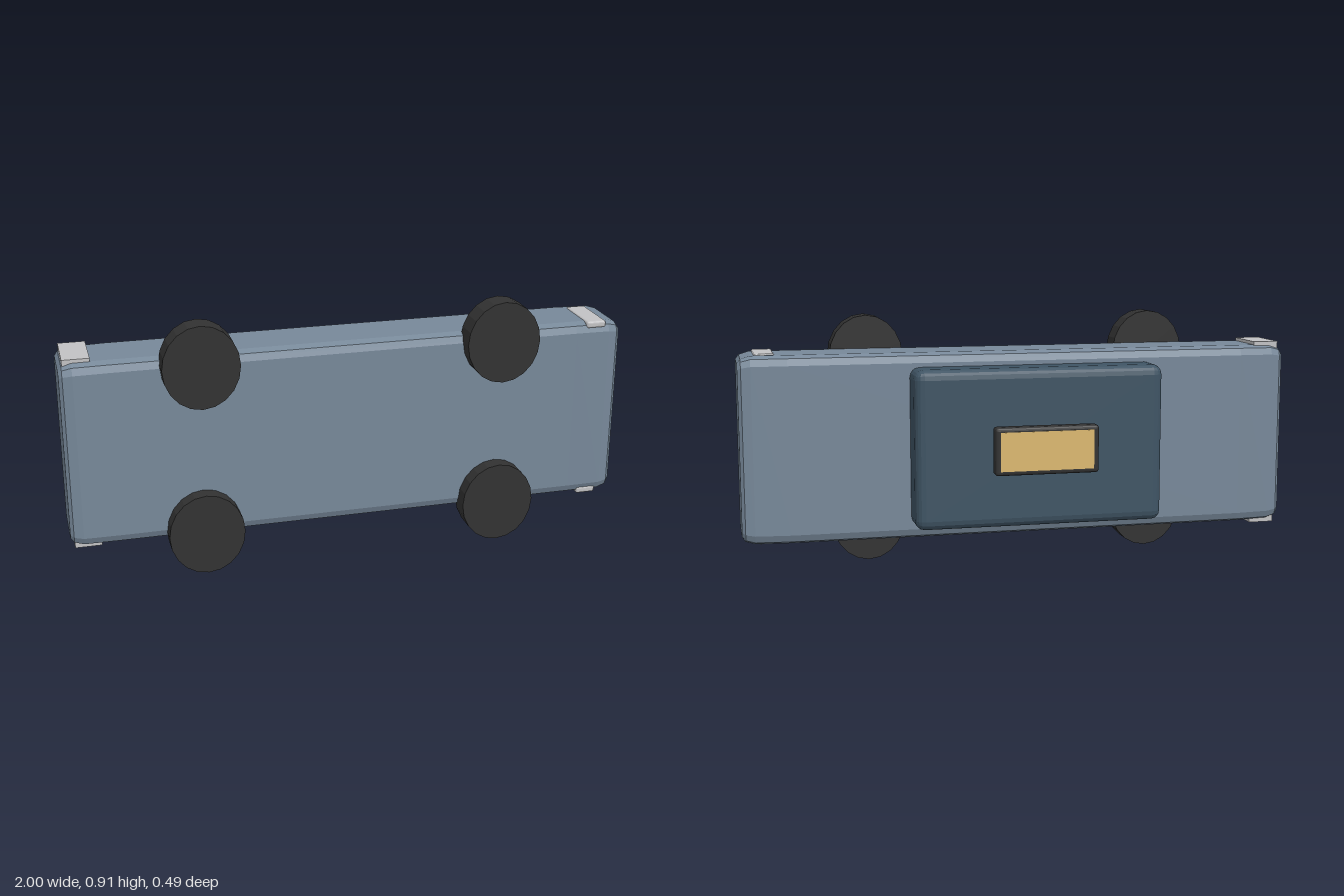
import * as THREE from 'three';
import { RoundedBoxGeometry } from 'three/addons/geometries/RoundedBoxGeometry.js';

const mat = (name, color) => {
  const m = new THREE.MeshStandardMaterial({ color, flatShading: true });
  m.name = name;
  return m;
};

// Closed hull from bevelled rectangles in the yz plane, strung along x.
// Each section: [x, halfHeight, zFront, zBack, bevel]
function hullGeometry(sections, cy) {
  const pos = [], idx = [], steps = 2, n = 4 * (steps + 1);
  for (const [x, h, zf, zb, r] of sections) {
    const corners = [[cy + h - r, zf - r], [cy + h - r, zb + r], [cy - h + r, zb + r], [cy - h + r, zf - r]];
    corners.forEach(([y, z], c) => {
      for (let s = 0; s <= steps; s++) {
        const a = (c - 1 + s / steps) * Math.PI / 2;
        pos.push(x, y + r * Math.cos(a), z - r * Math.sin(a));
      }
    });
  }
  for (let i = 0; i < sections.length - 1; i++) {
    for (let j = 0; j < n; j++) {
      const a = i * n + j, b = i * n + (j + 1) % n;
      idx.push(a, a + n, b, b, a + n, b + n);
    }
  }
  const last = (sections.length - 1) * n;
  for (let j = 1; j < n - 1; j++) idx.push(0, j, j + 1, last, last + j + 1, last + j);
  // Make sure the faces look outwards
  const g = new THREE.BufferGeometry();
  g.setAttribute('position', new THREE.Float32BufferAttribute(pos, 3));
  const p = new THREE.Vector3(), q = new THREE.Vector3(), o = new THREE.Vector3();
  let volume = 0;
  for (let i = 0; i < idx.length; i += 3) {
    o.fromArray(pos, idx[i] * 3);
    p.fromArray(pos, idx[i + 1] * 3);
    q.fromArray(pos, idx[i + 2] * 3);
    volume += o.dot(p.cross(q));
  }
  g.setIndex(volume < 0 ? idx.reverse() : idx);
  g.computeVertexNormals();
  return g;
}

export function createModel() {
  const model = new THREE.Group();
  model.name = 'car';
  const paint = mat('slate paint', 0x778899);
  const glass = mat('dark blue cabin', 0x3f5464);
  const black = mat('black rubber', 0x323232);
  const silver = mat('silver', 0xc2c2c4);
  const gold = mat('gold panel', 0xdcb970);
  const cy = 0.453;

  const add = (name, geometry, material, x, y, z) => {
    const m = new THREE.Mesh(geometry, material);
    m.name = name;
    m.position.set(x, y, z);
    model.add(m);
    return m;
  };
  const rounded = (x0, x1, y0, y1, z0, z1, r, name, material) =>
    add(name, new RoundedBoxGeometry(x1 - x0, y1 - y0, z1 - z0, 2, r), material,
      (x0 + x1) / 2, (y0 + y1) / 2, (z0 + z1) / 2);

  // Long body with bevelled ends and slightly dropped end panels
  add('body', hullGeometry([
    [-1, 0.305, 0.172, -0.035, 0.02],
    [-0.988, 0.322, 0.183, -0.046, 0.03],
    [-0.955, 0.332, 0.19, -0.053, 0.035],
    [-0.83, 0.333, 0.19, -0.061, 0.035],
    [0.83, 0.333, 0.19, -0.061, 0.035],
    [0.955, 0.332, 0.19, -0.053, 0.035],
    [0.988, 0.322, 0.183, -0.046, 0.03],
    [1, 0.305, 0.172, -0.035, 0.02],
  ], cy), paint, 0, 0, 0);

  // Cabin, sunk into the body
  rounded(-0.49, 0.407, 0.17, 0.736, -0.18, 0, 0.035, 'cabin', glass);

  // Raised sign and its panel
  rounded(-0.235, 0.138, 0.368, 0.538, -0.242, -0.19, 0.012, 'sign', black);
  add('signPanel', new THREE.BoxGeometry(0.335, 0.138, 0.006), gold, -0.048, cy, -0.2405);

  // Wheels and end trim on both sides
  for (const side of [-1, 1]) {
    for (const x of [-0.535, 0.533]) {
      const wheel = add('wheel', new THREE.CylinderGeometry(1, 1, 0.085, 20), black, x, cy + side * 0.306, 0.2025);
      wheel.rotation.x = Math.PI / 2;
      wheel.scale.set(0.133, 1, 0.147);
    }
    add('wideTrim', new THREE.BoxGeometry(0.093, 0.04, 0.185), silver, -0.939, cy + side * 0.324, 0.064);
    rounded(0.87, 0.943, cy + side * 0.3245 - 0.0125, cy + side * 0.3245 + 0.0125, -0.01, 0.186, 0.008, 'narrowTrim', silver);
  }
  return model;
}
